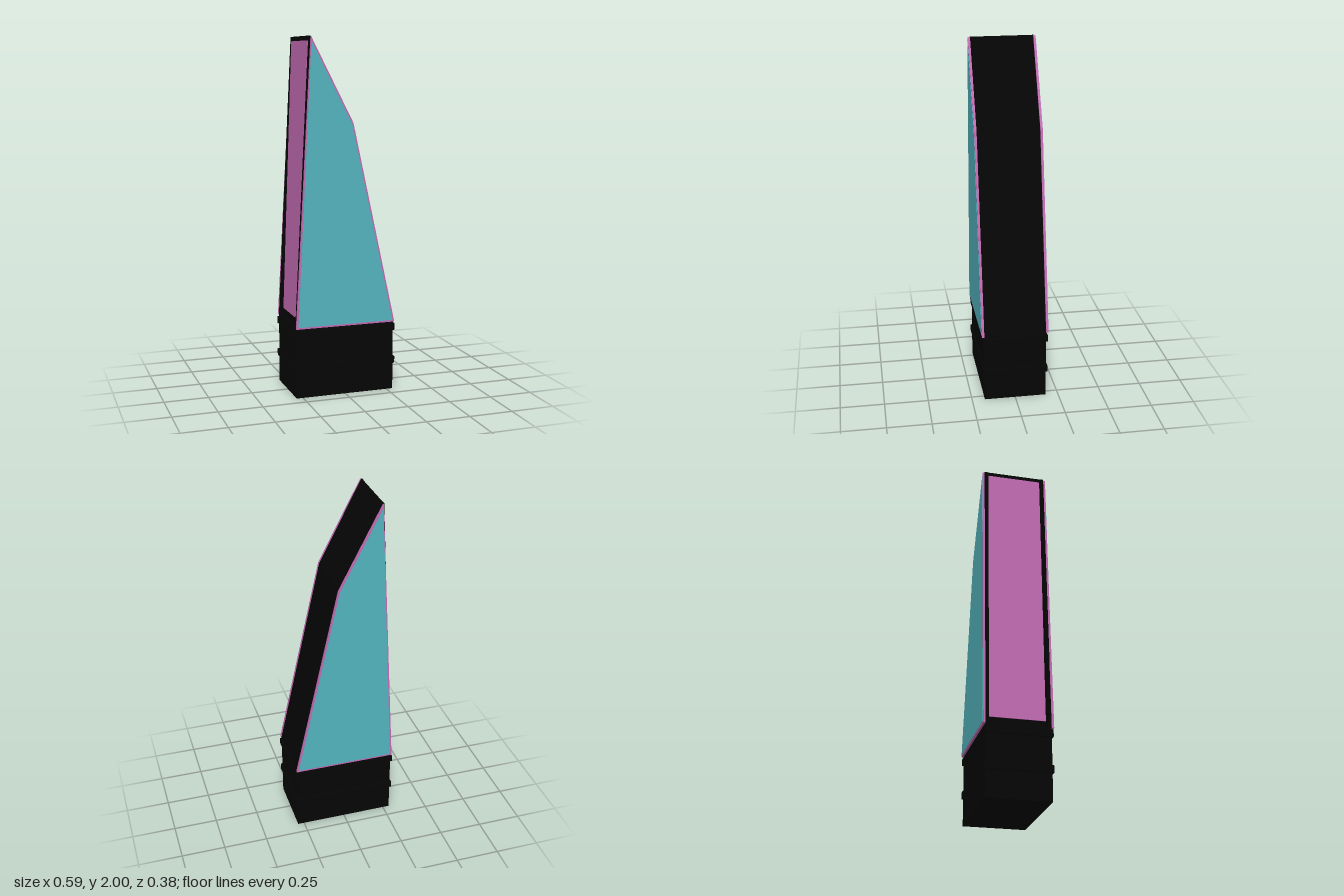
import * as THREE from 'three';

const mat = (name, color) => {
  const m = new THREE.MeshStandardMaterial({ color });
  m.name = name;
  return m;
};

// Prism from an x/y outline, spanning z0 to z1
function prism(points, z0, z1) {
  const shape = new THREE.Shape(points.map(([x, y]) => new THREE.Vector2(x, y)));
  const geo = new THREE.ExtrudeGeometry(shape, { depth: z1 - z0, bevelEnabled: false });
  return geo.translate(0, 0, z0);
}

export function createModel() {
  const group = new THREE.Group();
  const black = mat('black', 0x050505);
  const teal = mat('teal', 0x54b5bf);
  const pink = mat('orchid', 0xc46cb4);

  const add = (name, geo, material) => {
    const mesh = new THREE.Mesh(geo, material);
    mesh.name = name;
    group.add(mesh);
    return mesh;
  };

  // Plinth with two chamfered bands
  add('base', new THREE.BoxGeometry(0.574, 0.4, 0.354).translate(0, 0.2, 0), black);
  for (const y of [0.173, 0.367]) {
    const shape = new THREE.Shape();
    const w = 0.277, d = 0.167;
    shape.moveTo(-w, -d).lineTo(w, -d).lineTo(w, d).lineTo(-w, d).closePath();
    const band = new THREE.ExtrudeGeometry(shape, {
      depth: 0.038, bevelEnabled: true, bevelThickness: 0.009, bevelSize: 0.018, bevelSegments: 1,
    });
    band.translate(0, 0, -0.019).rotateX(-Math.PI / 2).translate(0, y, 0);
    add('baseBand', band, black);
  }

  // Slanted tower body
  add('towerBody', prism(
    [[-0.264, 0.4], [0.287, 0.4], [0.04, 1.53], [-0.2, 2], [-0.204, 2]], -0.176, 0.176), black);

  // Coloured side panels with a thin rim, and black frames beside the strip
  const frame = [[-0.288, 0.4], [-0.2, 0.4], [-0.2, 2], [-0.206, 2]];
  const rim = [[-0.29, 0.398], [0.291, 0.398], [0.041, 1.532], [-0.2, 1.998]];
  const face = [[-0.279, 0.408], [0.279, 0.408], [0.034, 1.526], [-0.198, 1.974]];
  for (const side of [1, -1]) {
    const span = (a, b) => (side > 0 ? [a, b] : [-b, -a]);
    add('stripFrame', prism(frame, ...span(0.158, 0.178)), black);
    add('panelRim', prism(rim, ...span(0.177, 0.19)), pink);
    add('panelFace', prism(face, ...span(0.187, 0.192)), teal);
  }

  // Strip on the sloping narrow side
  const strip = add('sideStrip', new THREE.BoxGeometry(0.006, 1.535, 0.308), pink);
  strip.position.set(-0.2345, 1.208, -0.002);
  strip.rotation.z = -Math.atan2(0.06, 1.6);

  return group;
}
